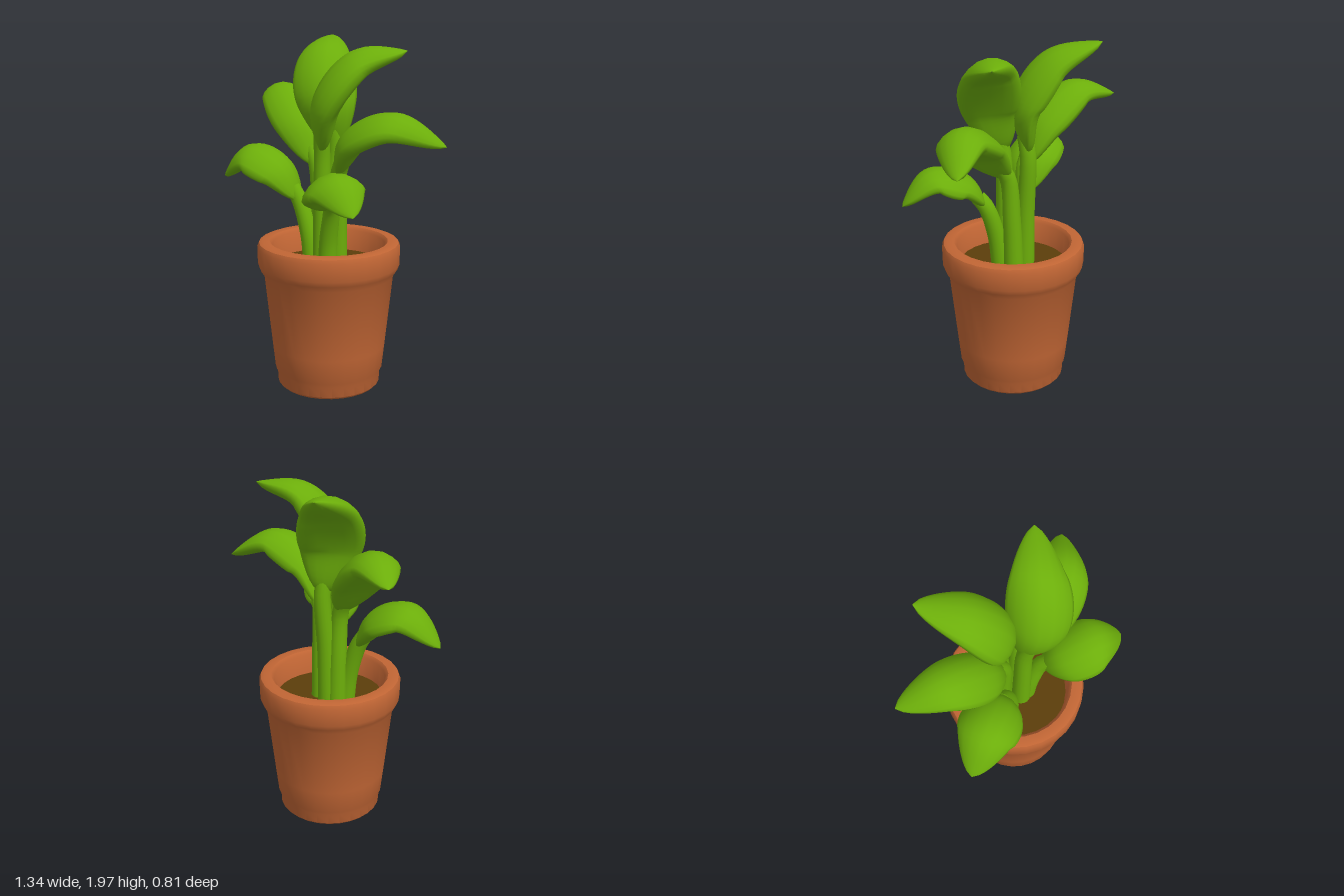
import * as THREE from 'three';
import { toCreasedNormals } from 'three/addons/utils/BufferGeometryUtils.js';

const UP = new THREE.Vector3(0, 1, 0);

// Sweep a drooping lens section along points; section(t) gives half width, height above and below, and droop.
function sweep(points, side, rings, section) {
  const curve = new THREE.CatmullRomCurve3(points);
  const sides = 16, pos = [], index = [];
  for (let i = 0; i <= rings; i++) {
    const t = i / rings;
    const c = curve.getPointAt(t);
    const tangent = curve.getTangentAt(t);
    const n = new THREE.Vector3().crossVectors(side, tangent).normalize();
    const s = new THREE.Vector3().crossVectors(tangent, n);
    const { w, above, below, droop } = section(t);
    for (let j = 0; j < sides; j++) {
      const a = (j / sides) * Math.PI * 2;
      const x = w * Math.cos(a);
      const y = Math.sin(a) * (Math.sin(a) > 0 ? above : below) - droop * w * Math.cos(a) ** 2;
      const p = c.clone().addScaledVector(s, x).addScaledVector(n, y);
      pos.push(p.x, p.y, p.z);
    }
  }
  for (let i = 0; i < rings; i++) {
    for (let j = 0; j < sides; j++) {
      const a = i * sides + j, b = i * sides + ((j + 1) % sides);
      index.push(a, a + sides, b, b, a + sides, b + sides);
    }
  }
  const g = new THREE.BufferGeometry();
  g.setAttribute('position', new THREE.Float32BufferAttribute(pos, 3));
  g.setIndex(index);
  g.computeVertexNormals();
  return g;
}

function addMesh(parent, name, geometry, material) {
  const mesh = new THREE.Mesh(geometry, material);
  mesh.name = name;
  parent.add(mesh);
  return mesh;
}

// A round stem rising from the soil and a thick arched blade along its rib; roll tips the blade sideways
function makeLeaf(name, material, { width, belly, roll, root }, ...ribPoints) {
  const leaf = new THREE.Group();
  leaf.name = name;
  const rib = ribPoints.map((p) => new THREE.Vector3(...p));
  const foot = new THREE.Vector3(root[0], 0.68, root[1]);
  const middle = foot.clone().lerp(rib[0], 0.3).setY((foot.y + rib[0].y) / 2);
  const out = rib[3].clone().sub(rib[0]).setY(0).normalize();
  const side = out.clone().cross(UP).applyAxisAngle(out, roll);
  const stem = [foot, middle, rib[0], rib[0].clone().lerp(rib[1], 0.4)];
  addMesh(leaf, 'stem', sweep(stem, side, 14, (t) => {
    const r = 0.056 - 0.012 * t;
    return { w: r, above: r, below: r, droop: 0 };
  }), material);
  addMesh(leaf, 'blade', sweep(rib, side, 28, (t) => {
    const swell = Math.max(0.002, Math.sin(Math.PI * t ** 0.9)) ** 0.65;
    return { w: width * swell, above: 0.05 * swell, below: belly * swell, droop: 0.42 * swell };
  }), material);
  return leaf;
}

export function createModel() {
  const mat = (name, color) => {
    const m = new THREE.MeshStandardMaterial({ color });
    m.name = name;
    return m;
  };
  const terracotta = mat('terracotta', 0xc06534);
  const green = mat('leaf green', 0x6cae0a);
  const soilBrown = mat('soil brown', 0x5c3e0a);

  const model = new THREE.Group();
  model.name = 'pottedPlant';

  // Pot: foot, tapering wall, thick rounded rim and inner wall
  const flowerPot = new THREE.Group();
  flowerPot.name = 'flowerPot';
  flowerPot.position.set(0.017, 0, -0.012);
  model.add(flowerPot);
  const profile = [
    [0, 0], [0.28, 0], [0.295, 0.015], [0.297, 0.075], [0.31, 0.1], [0.325, 0.24],
    [0.368, 0.655], [0.392, 0.69], [0.403, 0.72], [0.405, 0.82], [0.395, 0.842],
    [0.375, 0.85], [0.335, 0.848], [0.318, 0.83], [0.3, 0.66],
  ].map(([r, y]) => new THREE.Vector2(r, y));
  addMesh(flowerPot, 'pot', toCreasedNormals(new THREE.LatheGeometry(profile, 28), 0.75), terracotta);

  // Soil disc
  const soil = addMesh(flowerPot, 'soil', new THREE.CircleGeometry(0.308, 28), soilBrown);
  soil.rotation.x = -Math.PI / 2;
  soil.position.y = 0.71;

  // Leaves in three tiers, each rib running from base to tip
  model.add(
    makeLeaf('topRearLeaf', green, { width: 0.18, belly: 0.11, roll: 0.1, root: [-0.03, -0.06] },
      [-0.02, 1.36, -0.09], [-0.02, 1.64, -0.03], [-0.13, 1.87, -0.13], [-0.31, 1.97, -0.35]),
    makeLeaf('topFrontLeaf', green, { width: 0.17, belly: 0.12, roll: 0.2, root: [0.02, 0.04] },
      [0.03, 1.36, 0.05], [0.07, 1.63, 0.1], [0.21, 1.87, -0.02], [0.4, 1.91, -0.22]),
    makeLeaf('middleRightLeaf', green, { width: 0.155, belly: 0.1, roll: 0, root: [-0.07, -0.03] },
      [-0.08, 1.26, -0.01], [-0.21, 1.51, -0.01], [-0.43, 1.66, -0.07], [-0.67, 1.6, -0.18]),
    makeLeaf('middleLeftLeaf', green, { width: 0.155, belly: 0.1, roll: 0.1, root: [0.05, -0.05] },
      [0.08, 1.24, -0.03], [0.22, 1.45, 0.02], [0.46, 1.56, -0.06], [0.67, 1.43, -0.24]),
    makeLeaf('lowerRightLeaf', green, { width: 0.17, belly: 0.09, roll: -0.1, root: [-0.07, 0.03] },
      [-0.15, 1.06, 0.06], [-0.25, 1.25, 0.11], [-0.43, 1.32, 0.18], [-0.61, 1.16, 0.24]),
    makeLeaf('lowerLeftLeaf', green, { width: 0.165, belly: 0.08, roll: 0.1, root: [0.06, 0.04] },
      [0.14, 1.06, 0.08], [0.21, 1.2, 0.17], [0.38, 1.26, 0.26], [0.55, 1.12, 0.31]),
  );
  return model;
}
